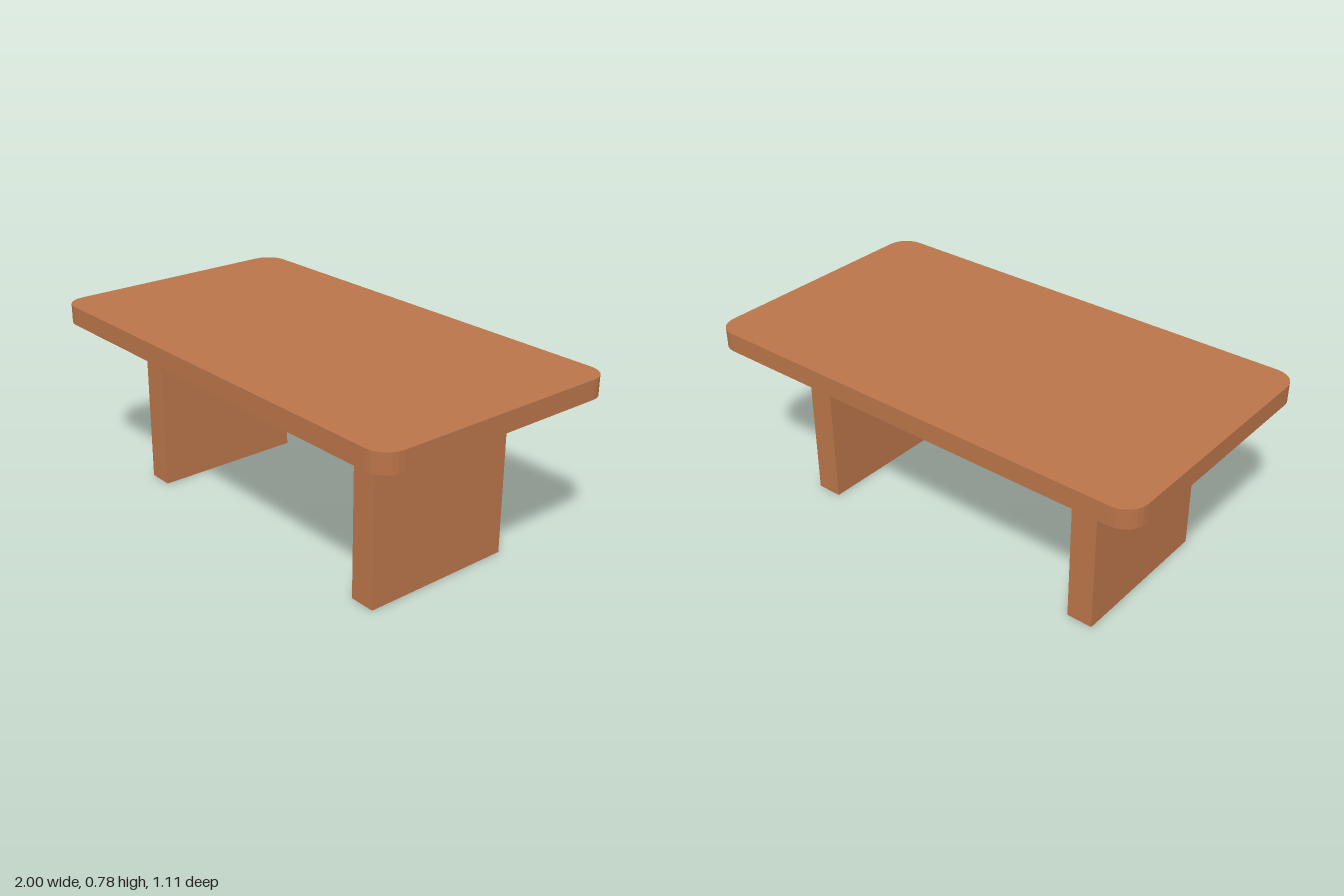
import * as THREE from 'three';

export function createModel() {
  const group = new THREE.Group();
  const wood = new THREE.MeshStandardMaterial({ color: 0xb97449, flatShading: true });
  wood.name = 'warm wood';

  // Table top: slab with faceted rounded corners
  const w = 1, d = 0.555, r = 0.09, bottom = 0.7, thickness = 0.08;
  const outline = new THREE.Shape();
  outline.absarc(w - r, d - r, r, 0, Math.PI / 2);
  outline.absarc(-w + r, d - r, r, Math.PI / 2, Math.PI);
  outline.absarc(-w + r, -d + r, r, Math.PI, Math.PI * 1.5);
  outline.absarc(w - r, -d + r, r, Math.PI * 1.5, Math.PI * 2);
  const slab = new THREE.ExtrudeGeometry(outline, {
    depth: thickness, bevelEnabled: false, curveSegments: 3,
  });
  slab.rotateX(-Math.PI / 2);
  const top = new THREE.Mesh(slab, wood);
  top.name = 'tableTop';
  top.position.y = bottom;
  group.add(top);

  // Two upright panel legs
  for (const [name, side] of [['leftLeg', 1], ['rightLeg', -1]]) {
    const leg = new THREE.Mesh(new THREE.BoxGeometry(0.11, bottom, 0.666), wood);
    leg.name = name;
    leg.position.set(side * 0.665, bottom / 2, 0);
    group.add(leg);
  }
  return group;
}
